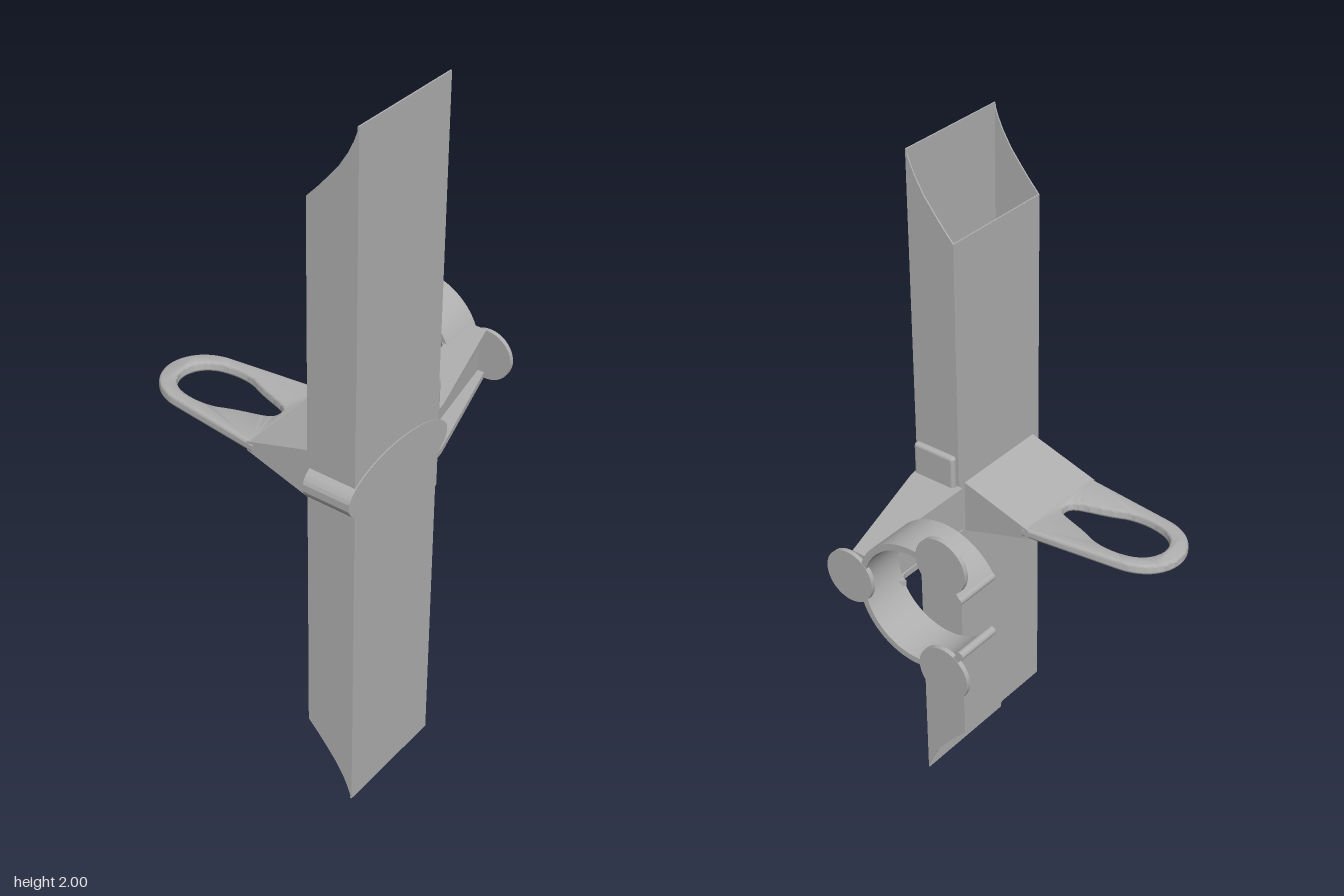
import * as THREE from 'three';
import { toCreasedNormals } from 'three/addons/utils/BufferGeometryUtils.js';
import { RoundedBoxGeometry } from 'three/addons/geometries/RoundedBoxGeometry.js';

export function createModel() {
  const model = new THREE.Group();
  model.name = 'tubeWithHandleAndClip';
  const grey = new THREE.MeshStandardMaterial({ color: 0xb0b0b0, side: THREE.DoubleSide });
  grey.name = 'plain grey';

  const add = (name, geometry, x = 0, y = 0, z = 0) => {
    const mesh = new THREE.Mesh(geometry, grey);
    mesh.name = name;
    mesh.position.set(x, y, z);
    model.add(mesh);
    return mesh;
  };
  const outline = (pts) => new THREE.Shape(pts.map(([a, b]) => new THREE.Vector2(a, b)));
  const extrude = (shape, depth, options = {}) => toCreasedNormals(
    new THREE.ExtrudeGeometry(shape, { depth, bevelEnabled: false, curveSegments: 32, ...options }), 0.7);
  // Shape drawn in (z, y), spanning x0..x1
  const alongX = (shape, x0, x1) => extrude(shape, x1 - x0).rotateY(-Math.PI / 2).translate(x1, 0, 0);
  // Shape drawn in (x, z), spanning y0..y1
  const alongY = (shape, y0, y1) => extrude(shape, y1 - y0).rotateX(Math.PI / 2).translate(0, y1, 0);

  // Hollow rectangular tube with concave slanted ends
  const wall = 0.004, left = -0.356, right = -0.01, back = 0.22, front = 0.363;
  const cut = [[front, 0], [0.35, 0.036], [0.335, 0.068], [0.31, 0.108], [0.28, 0.145], [0.25, 0.18], [back, 0.212]];
  const side = outline([...cut, ...cut.map(([z, y]) => [z, 2 - y]).reverse()]);
  add('tubeSideRight', alongX(side, left, left + wall));
  add('tubeSideLeft', alongX(side, right - wall, right));
  add('tubeFront', new THREE.BoxGeometry(right - left, 2, wall), (left + right) / 2, 1, front - wall / 2);
  add('tubeBack', new THREE.BoxGeometry(right - left, 1.576, wall), (left + right) / 2, 1, back + wall / 2);

  // Oval front plate and the boss end that shows beside the tube
  const oval = new THREE.Shape();
  oval.absellipse(0, 0, 0.207, 0.087, 0, Math.PI * 2);
  add('ovalPlate', extrude(oval, 0.006), -0.177, 1, 0.36);
  const bossEnd = new THREE.Shape();
  bossEnd.absellipse(0, 0, 0.207, 0.087, Math.PI * 0.81, Math.PI * 1.19);
  add('ovalBossEnd', extrude(bossEnd, 0.135), -0.177, 1, 0.226);

  // Reinforcement pad at the root of the arm
  add('armPad', new RoundedBoxGeometry(0.022, 0.34, 0.134, 3, 0.01), -0.004, 1, 0.293);

  // Handle: wedge root and flat loop
  add('handleRoot', alongX(outline([[0.222, 0.922], [0.222, 1.078], [0.01, 1.013], [0.01, 0.987]]), -0.331, -0.034));
  const loop = new THREE.Shape();
  loop.moveTo(-0.14, 0.02);
  loop.lineTo(-0.108, -0.25);
  loop.bezierCurveTo(-0.092, -0.4, 0.092, -0.4, 0.108, -0.25);
  loop.lineTo(0.14, 0.02);
  loop.closePath();
  const hole = new THREE.Path();
  hole.moveTo(0, 0.008);
  hole.bezierCurveTo(0.05, 0.008, 0.04, -0.05, 0.082, -0.14);
  hole.bezierCurveTo(0.095, -0.175, 0.095, -0.225, 0.085, -0.26);
  hole.bezierCurveTo(0.06, -0.355, -0.06, -0.355, -0.085, -0.26);
  hole.bezierCurveTo(-0.095, -0.225, -0.095, -0.175, -0.082, -0.14);
  hole.bezierCurveTo(-0.04, -0.05, -0.05, 0.008, 0, 0.008);
  loop.holes.push(hole);
  const loopGeometry = extrude(loop, 0.01, {
    bevelEnabled: true, bevelThickness: 0.01, bevelSize: 0.01, bevelSegments: 4,
  });
  add('handleLoop', loopGeometry.rotateX(Math.PI / 2), -0.183, 1.005, 0);

  // Tapering channel arm: two flanges and a recessed web
  const flange = new THREE.Shape();
  flange.moveTo(-0.01, 0.208);
  flange.lineTo(0.22, 0.208);
  flange.quadraticCurveTo(0.25, 0.208, 0.252, 0.185);
  flange.lineTo(0.27, 0.2);
  flange.lineTo(0.372, 0.2);
  flange.lineTo(0.372, 0.255);
  flange.lineTo(0.02, 0.358);
  flange.lineTo(-0.01, 0.362);
  flange.closePath();
  add('armTopFlange', alongY(flange, 1.06, 1.077));
  add('armBottomFlange', alongY(flange, 0.925, 0.942));
  const web = outline([[-0.01, 0.212], [0.372, 0.212], [0.372, 0.235], [-0.01, 0.31]]);
  add('armWeb', alongY(web, 0.94, 1.062));

  // Open ring clip
  const open = Math.PI * 0.83;
  const ring = new THREE.Shape();
  ring.absarc(0.05, 1, 0.178, -open, open, false);
  ring.absarc(0.05, 1, 0.16, open, -open, true);
  ring.closePath();
  add('clipRing', alongX(ring, 0.25, 0.383));

  // Round ears on the outer face of the clip, and rounded lips at its opening
  for (const [z, y, r] of [[0.26, 1, 0.075], [-0.043, 1.168, 0.077], [-0.043, 0.832, 0.077]]) {
    const ear = new THREE.Shape();
    ear.absarc(z, y, r, 0, Math.PI * 2);
    add('clipEar', alongX(ear, 0.371, 0.384));
  }
  for (const s of [-1, 1]) {
    const lip = new THREE.CylinderGeometry(0.012, 0.012, 0.133, 16).rotateZ(Math.PI / 2);
    add('clipLip', lip, 0.3165, 1 + s * 0.169 * Math.sin(open), 0.05 + 0.169 * Math.cos(open));
  }
  return model;
}
